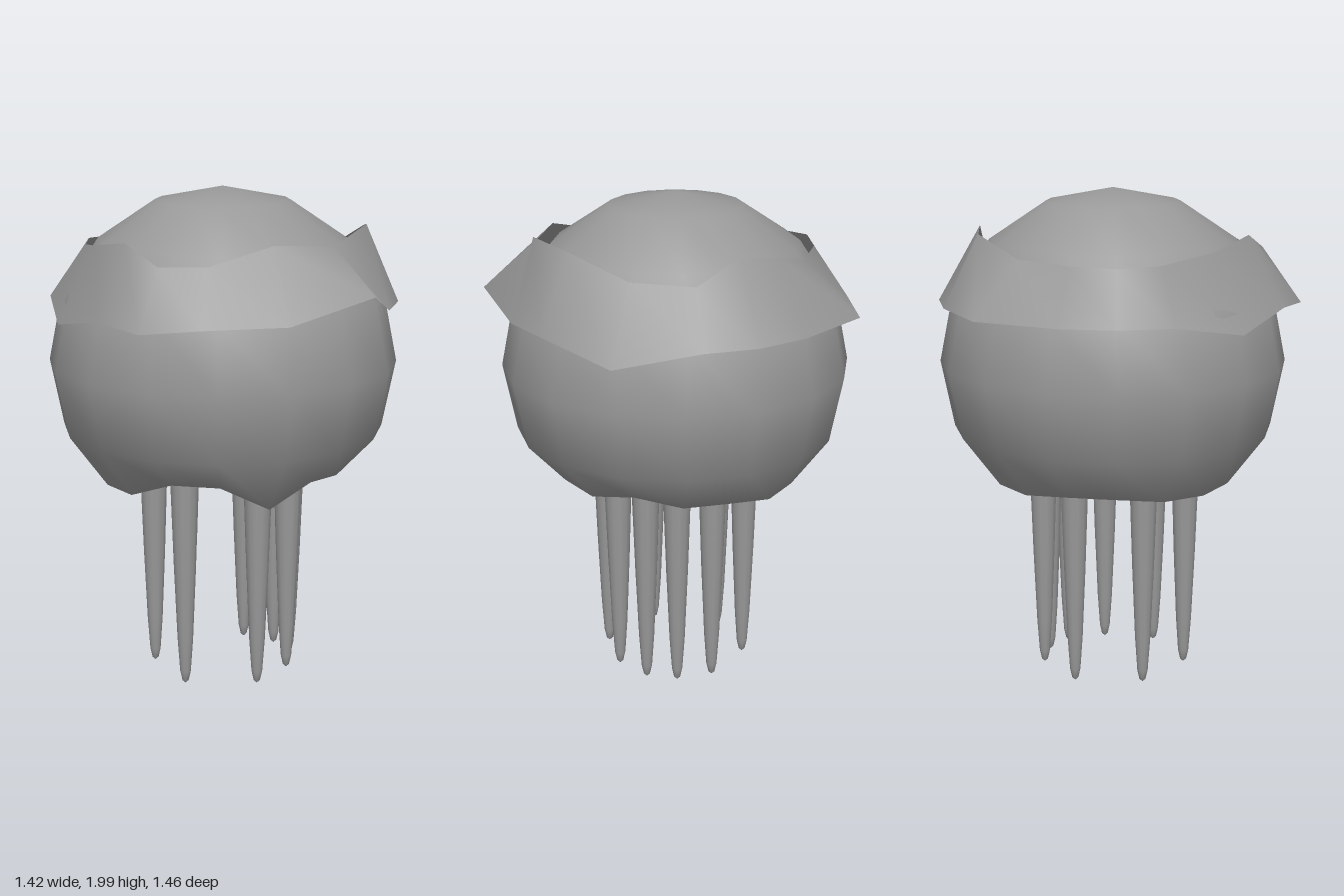
import * as THREE from 'three';
import { mergeVertices } from 'three/addons/utils/BufferGeometryUtils.js';

const CX = -0.015, CZ = 0.025, CY = 1.3;
const rad = THREE.MathUtils.degToRad;

// One point around the bell axis: angle runs from the front towards the model's left
const polar = (deg, r, y) => [CX + r * Math.sin(rad(deg)), y, CZ + r * Math.cos(rad(deg))];

// Skin between closed rings listed from top to bottom of the outward surface
function loft(rings) {
  const n = rings[0].length, index = [];
  for (let j = 0; j < rings.length - 1; j++) {
    for (let i = 0; i < n; i++) {
      const k = (i + 1) % n;
      const a = j * n + i, b = j * n + k, c = a + n, d = b + n;
      index.push(a, c, d, a, d, b);
    }
  }
  const g = new THREE.BufferGeometry();
  g.setAttribute('position', new THREE.Float32BufferAttribute(rings.flat(2), 3));
  g.setIndex(index);
  const merged = mergeVertices(g, 1e-5);
  merged.computeVertexNormals();
  return merged;
}

export function createModel() {
  const model = new THREE.Group();
  model.name = 'jellyfish';
  const grey = new THREE.MeshStandardMaterial({ color: 0x999999, side: THREE.DoubleSide });
  grey.name = 'grey';
  const add = (name, geometry) => {
    const mesh = new THREE.Mesh(geometry, grey);
    mesh.name = name;
    model.add(mesh);
    return mesh;
  };

  // Bell: a sphere cut off by an uneven rim, with a thin wall
  const rimY = [0.805, 0.885, 0.87, 0.86, 0.895, 0.86, 0.86, 0.83,
    0.83, 0.85, 0.85, 0.83, 0.825, 0.83, 0.9, 0.9];
  const step = 360 / rimY.length;
  const sphereRings = (radius) => [0, 1, 2, 3, 4, 5].map((row) => {
    const phi = rad(row * 22.5);
    return rimY.map((_, i) => polar(i * step, radius * Math.sin(phi), CY + radius * Math.cos(phi)));
  });
  const rimOuter = rimY.map((y, i) => polar(i * step, 0.495, y));
  const rimInner = rimY.map((y, i) => polar(i * step, 0.45, y + 0.02));
  add('bell', loft([...sphereRings(0.7), rimOuter]));
  add('bellRim', loft([rimOuter, rimInner]));
  add('bellLining', loft([rimInner, ...sphereRings(0.65).reverse()]));

  // Collar: a loose band with jagged edges, rows of [angle, upper r, upper y, lower r, lower y]
  const collar = [
    [0, 0.525, 1.83, 0.675, 1.55],
    [27, 0.56, 1.81, 0.76, 1.64],
    [45, 0.6, 1.88, 0.7, 1.55],
    [63, 0.555, 1.85, 0.7, 1.55],
    [90, 0.525, 1.765, 0.725, 1.485],
    [117, 0.553, 1.76, 0.7, 1.55],
    [135, 0.53, 1.85, 0.7, 1.55],
    [153, 0.555, 1.835, 0.7, 1.55],
    [180, 0.525, 1.765, 0.755, 1.555],
    [207, 0.56, 1.76, 0.7, 1.55],
    [225, 0.6, 1.76, 0.7, 1.55],
    [243, 0.55, 1.76, 0.7, 1.55],
    [270, 0.535, 1.79, 0.685, 1.49],
    [297, 0.553, 1.83, 0.7, 1.55],
    [315, 0.6, 1.76, 0.76, 1.535],
    [333, 0.56, 1.76, 0.7, 1.55],
  ];
  add('collar', loft([
    collar.map(([a, r, y]) => polar(a, r, y)),
    collar.map(([a, , , r, y]) => polar(a, r, y)),
  ]));

  // Tentacles: tapered, rounded at both ends
  const profile = [[0, 0.008], [0.013, 0.02], [0.022, 0.06], [0.032, 0.2], [0.045, 0.5],
    [0.057, 0.85], [0.056, 0.93], [0.045, 0.99], [0.025, 1.025], [0, 1.035]];
  const tentacle = new THREE.LatheGeometry(profile.map(([r, y]) => new THREE.Vector2(r, y)), 12);
  const spots = [[-0.25, 0.21], [0.02, 0.317], [0.2, 0.2], [0.275, 0.053],
    [0.26, -0.075], [0.17, -0.195], [-0.07, -0.254], [-0.28, -0.075]];
  spots.forEach(([x, z], i) => add(`tentacle${i + 1}`, tentacle).position.set(x, 0, z));

  return model;
}
